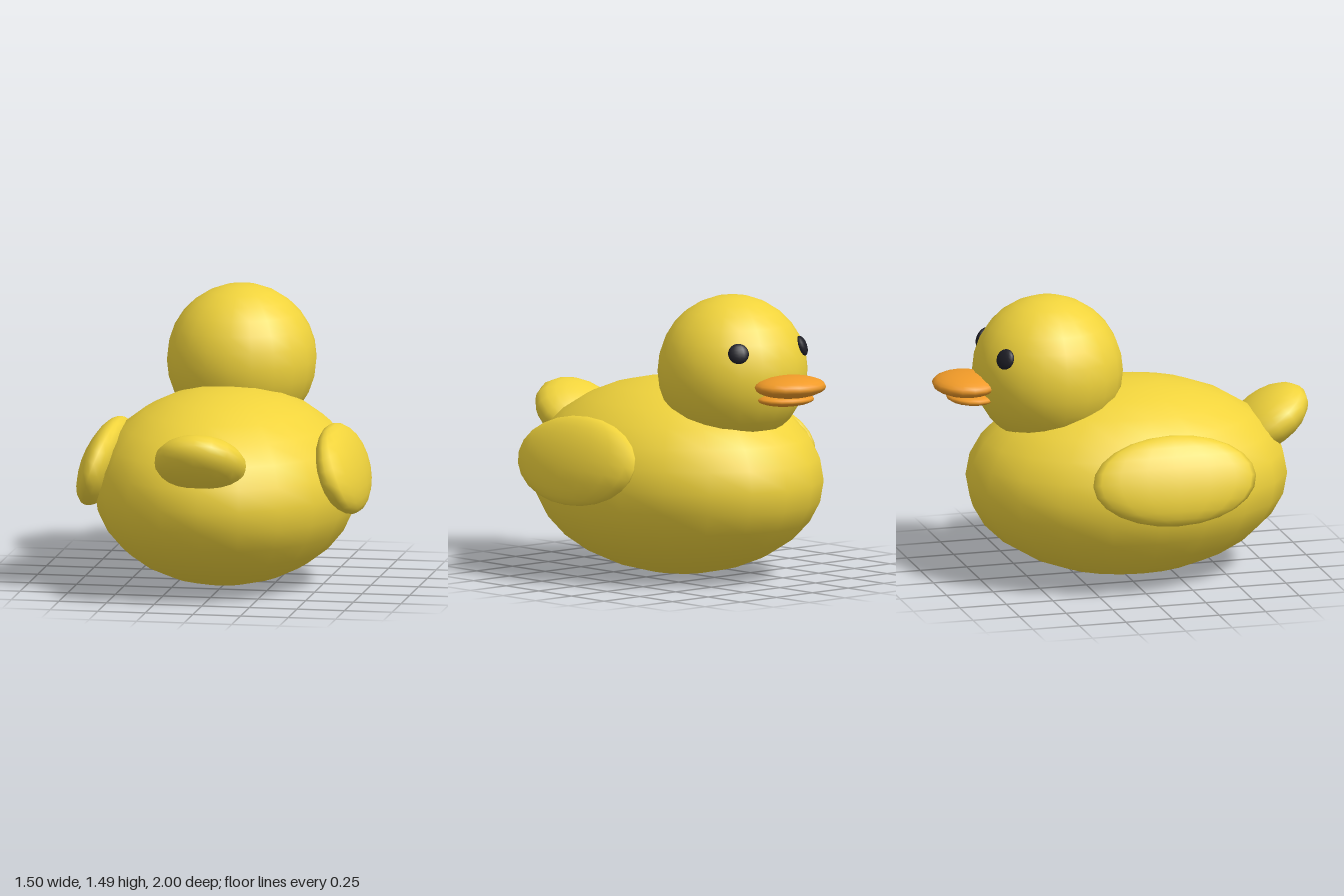
import * as THREE from 'three';

const material = (color) => new THREE.MeshStandardMaterial({ color });

// Every part is an ellipsoid: radii and position as [x, y, z]
function ellipsoid(name, mat, radii, position, [across, down] = [20, 14]) {
  const mesh = new THREE.Mesh(new THREE.SphereGeometry(1, across, down), mat);
  mesh.name = name;
  mesh.scale.set(...radii);
  mesh.position.set(...position);
  return mesh;
}

export function createModel() {
  const duck = new THREE.Group();
  duck.name = 'duck';
  const yellow = material(0xf0d33c);
  const orange = material(0xf09a28);
  const black = material(0x1e1e26);

  // Body and head; the duck looks towards -z
  const headCentre = [0, 1.1, -0.388];
  duck.add(ellipsoid('body', yellow, [0.68, 0.51, 0.845], [0, 0.51, 0.035]));
  duck.add(ellipsoid('head', yellow, [0.39, 0.39, 0.39], headCentre));

  // Upturned tail
  const tail = ellipsoid('tail', yellow, [0.24, 0.13, 0.24], [0, 0.75, 0.79], [16, 12]);
  tail.rotation.x = -0.6;
  duck.add(tail);

  // Bill in two halves
  duck.add(ellipsoid('upperBill', orange, [0.2, 0.058, 0.17], [0, 1.057, -0.83], [16, 12]));
  duck.add(ellipsoid('lowerBill', orange, [0.16, 0.034, 0.13], [0, 0.988, -0.797], [16, 12]));

  for (const side of [1, -1]) {
    const prefix = side > 0 ? 'left' : 'right';

    // Wings lean in at the top
    const wing = ellipsoid(prefix + 'Wing', yellow, [0.103, 0.236, 0.437], [side * 0.628, 0.63, 0.117], [16, 12]);
    wing.rotation.z = side * 0.34;
    duck.add(wing);

    // Eyes are flattened and face straight out of the head
    const eye = ellipsoid(prefix + 'Eye', black, [0.054, 0.054, 0.024], [side * 0.222, 1.233, -0.677], [12, 10]);
    const outward = eye.position.clone().sub(new THREE.Vector3(...headCentre)).normalize();
    eye.quaternion.setFromUnitVectors(new THREE.Vector3(0, 0, -1), outward);
    duck.add(eye);
  }

  return duck;
}
